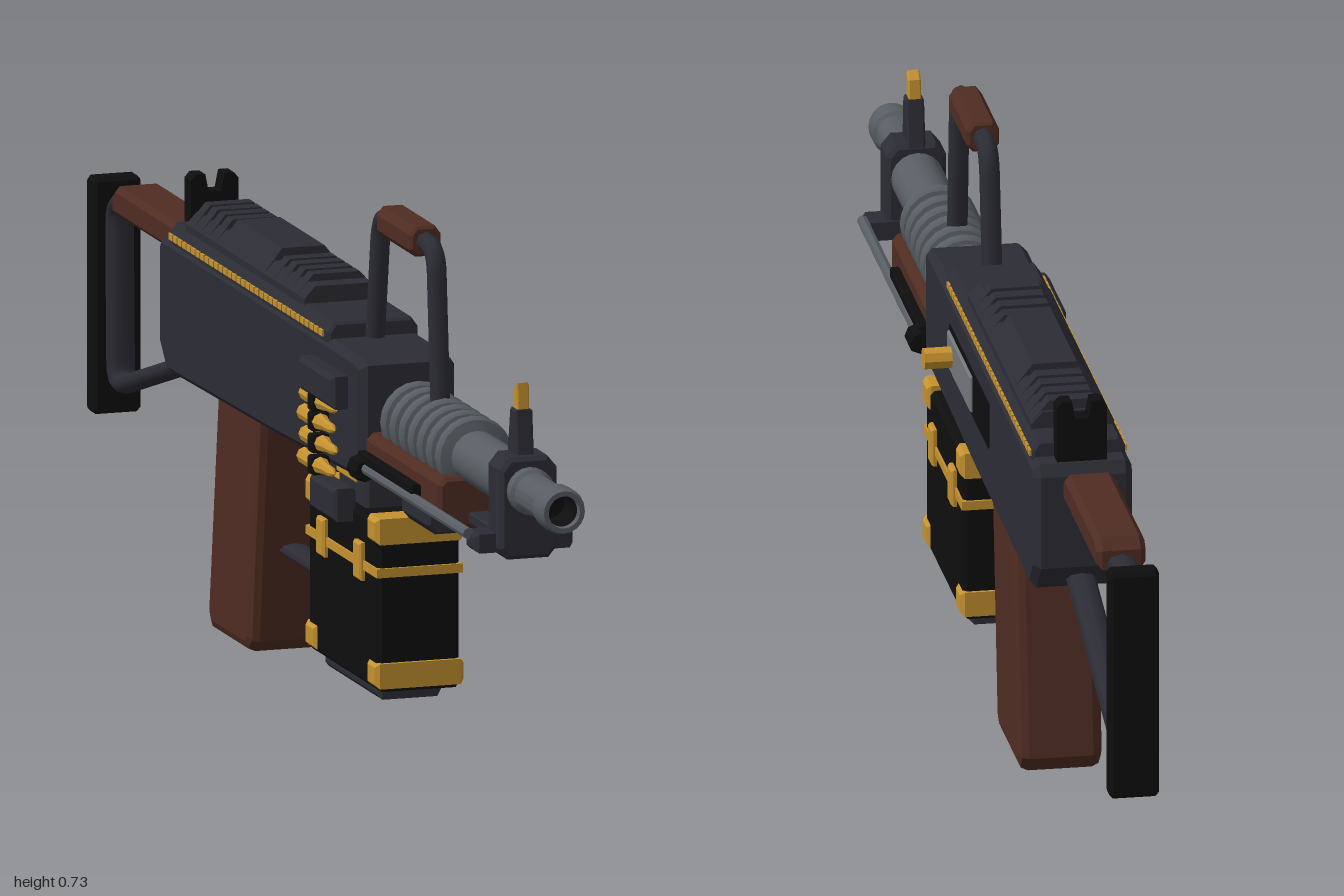
import * as THREE from 'three';
import { toCreasedNormals } from 'three/addons/utils/BufferGeometryUtils.js';

export function createModel() {
  const model = new THREE.Group();
  model.name = 'model';
  // Everything is built about x = 0, then shifted slightly
  const body = new THREE.Group();
  body.name = 'body';
  body.position.x = -0.01;
  model.add(body);

  const mat = (name, hex) => {
    const m = new THREE.MeshStandardMaterial({ color: hex });
    m.name = name;
    return m;
  };
  const steel = mat('dark steel', 0x2c2c35);
  const black = mat('black', 0x0e0e0f);
  const brown = mat('brown wood', 0x4f2c22);
  const gold = mat('brass', 0xc4912f);
  const gray = mat('barrel gray', 0x575d63);
  const silver = mat('bolt silver', 0x73767a);

  const add = (name, geo, m) => {
    const mesh = new THREE.Mesh(geo, m);
    mesh.name = name;
    body.add(mesh);
    return mesh;
  };
  const shapeOf = pts => new THREE.Shape(pts.map(p => new THREE.Vector2(p[0], p[1])));
  const extrude = (pts, w, b) => new THREE.ExtrudeGeometry(shapeOf(pts), {
    depth: w - 2 * b, bevelEnabled: b > 0, bevelSize: b, bevelThickness: b,
    bevelOffset: -b, bevelSegments: b > 0.012 ? 2 : 1,
  }).translate(0, 0, -w / 2 + b);
  // Side outline of [z, y] points, w wide across x
  const side = (name, pts, w, m, b = 0, x = 0) =>
    add(name, extrude(pts, w, b).rotateY(-Math.PI / 2).translate(x, 0, 0), m);
  // Cross-section of [x, y] points running from z0 to z1
  const section = (name, pts, z0, z1, m, b = 0) =>
    add(name, extrude(pts, z1 - z0, b).translate(0, 0, (z0 + z1) / 2), m);
  const rect = (a0, a1, b0, b1) => [[a0, b0], [a1, b0], [a1, b1], [a0, b1]];
  const box = (name, x0, x1, y0, y1, z0, z1, m, b = 0) =>
    side(name, rect(z0, z1, y0, y1), x1 - x0, m, b, (x0 + x1) / 2);
  // Turned part along z from [radius, z] points
  const turned = (name, pts, m, y = 0.448, x = 0, n = 20) =>
    add(name, toCreasedNormals(new THREE.LatheGeometry(
      pts.map(p => new THREE.Vector2(p[0], p[1])), n), 0.6)
      .rotateX(Math.PI / 2).translate(x, y, 0), m);
  // Bent bar through [z, y] points with rounded corners
  const bar = (name, pts, r, m, bend = 0.03, wide = 1) => {
    const v = pts.map(p => new THREE.Vector3(0, p[1], p[0]));
    const path = new THREE.CurvePath();
    let from = v[0];
    for (let i = 1; i < v.length - 1; i++) {
      const a = v[i].clone().add(v[i - 1].clone().sub(v[i]).setLength(bend));
      const c = v[i].clone().add(v[i + 1].clone().sub(v[i]).setLength(bend));
      path.add(new THREE.LineCurve3(from, a));
      path.add(new THREE.QuadraticBezierCurve3(a, v[i], c));
      from = c;
    }
    path.add(new THREE.LineCurve3(from, v[v.length - 1]));
    add(name, new THREE.TubeGeometry(path, 64, r, 8).scale(wide, 1, 1), m);
  };

  // Receiver and top cover
  side('receiver', [[0.315, 0.355], [0.315, 0.52], [0.29, 0.527], [-0.57, 0.527], [-0.58, 0.51],
    [-0.58, 0.375], [-0.545, 0.335], [-0.08, 0.343]], 0.14, steel, 0.01);
  section('topCover', [[-0.066, 0.52], [0.066, 0.52], [0.066, 0.536], [0.056, 0.55],
    [-0.056, 0.55], [-0.066, 0.536]], -0.54, 0.16, steel, 0.004);
  for (const s of [-1, 1]) {
    for (let i = 0; i < 34; i++) {
      const z = 0.14 - i * 0.02;
      box('trimDash', s * 0.066 - 0.003, s * 0.066 + 0.003, 0.527, 0.536, z - 0.0155, z, gold);
    }
  }

  // Ridged rail on the cover
  const railShape = (top, half) => [[-0.058, 0.545], [0.058, 0.545], [0.058, 0.557],
    [half, top], [-half, top], [-0.058, 0.557]];
  section('railBase', railShape(0.574, 0.042), -0.49, 0.03, steel);
  for (let i = 0; i < 4; i++) {
    section('frontRidge', railShape(0.584, 0.034), -0.025 - i * 0.035, -0.002 - i * 0.035, steel);
    section('rearRidge', railShape(0.588, 0.032), -0.385 - i * 0.033, -0.362 - i * 0.033, steel);
  }
  section('railBlock', railShape(0.591, 0.031), -0.345, -0.148, steel);

  // Rear sight with notch
  section('rearSight', [[-0.035, 0.52], [0.035, 0.52], [0.035, 0.607], [0.028, 0.615], [0.014, 0.615],
    [0.009, 0.59], [-0.009, 0.59], [-0.014, 0.615], [-0.028, 0.615], [-0.035, 0.607]], -0.566, -0.538, black);

  // Ejection port, bolt and cocking handle
  box('ejectionPort', 0.066, 0.072, 0.42, 0.486, -0.215, 0.105, black);
  box('bolt', 0.068, 0.076, 0.427, 0.479, -0.09, 0.1, silver, 0.002);
  add('cockingHandle', toCreasedNormals(new THREE.CylinderGeometry(0.016, 0.016, 0.045, 8), 0.3)
    .rotateZ(Math.PI / 2).translate(0.0925, 0.452, 0.065), gold);

  // Barrel with cooling ribs
  turned('barrel', [[0.037, 0.3], [0.037, 0.78], [0.033, 0.785], [0.033, 0.86], [0.028, 0.865],
    [0.028, 0.955], [0.033, 0.96], [0.033, 0.99], [0.03, 1], [0.023, 1], [0.022, 0.96]], gray);
  turned('bore', [[0.022, 0.99], [0.02, 0.94], [0, 0.94]], black);
  for (let i = 0; i < 7; i++) {
    const z = 0.36 + i * 0.04;
    turned('barrelRib', [[0.037, z - 0.014], [0.052, z - 0.01], [0.055, z - 0.006],
      [0.055, z + 0.006], [0.052, z + 0.01], [0.037, z + 0.014]], gray);
  }

  // Front sight block and post
  section('frontBlock', [[-0.03, 0.35], [0.03, 0.35], [0.042, 0.365], [0.042, 0.478], [0.028, 0.495],
    [-0.028, 0.495], [-0.042, 0.478], [-0.042, 0.365]], 0.785, 0.845, steel, 0.006);
  side('sightPost', [[0.785, 0.485], [0.83, 0.485], [0.822, 0.558], [0.798, 0.558]], 0.026, steel, 0.003);
  side('sightBlade', [[0.798, 0.555], [0.82, 0.555], [0.817, 0.595], [0.802, 0.585]], 0.018, gold, 0.002);

  // Handguard
  section('handguard', [[-0.045, 0.353], [0.045, 0.353], [0.062, 0.372], [0.062, 0.415], [0.052, 0.425],
    [-0.052, 0.425], [-0.062, 0.415], [-0.062, 0.372]], 0.31, 0.635, brown, 0.005);
  section('handguardLug', [[-0.032, 0.322], [0.032, 0.322], [0.043, 0.335], [0.043, 0.36],
    [-0.043, 0.36], [-0.043, 0.335]], 0.41, 0.53, steel, 0.004);

  // Folded bipod
  box('bipodFoot', -0.072, 0.072, 0.358, 0.385, 0.78, 0.825, steel, 0.006);
  box('bipodRail', -0.018, 0.018, 0.357, 0.375, 0.6, 0.8, steel, 0.003);
  for (const s of [-1, 1]) {
    turned('bipodLeg', [[0, 0.33], [0.008, 0.33], [0.008, 0.8], [0, 0.8]], gray, 0.382, s * 0.074, 8);
    turned('bipodPivot', [[0, 0.315], [0.014, 0.315], [0.018, 0.32], [0.018, 0.347], [0.014, 0.352],
      [0, 0.352]], black, 0.38, s * 0.075, 8);
    box('bipodArm', s * 0.07 - 0.007, s * 0.07 + 0.007, 0.385, 0.402, 0.32, 0.56, black, 0.002);
  }

  // Carrying handle
  bar('carryHandle', [[0.455, 0.475], [0.435, 0.708], [0.195, 0.708], [0.168, 0.53]], 0.0145, steel, 0.035);
  section('carryGrip', [[-0.014, 0.687], [0.014, 0.687], [0.023, 0.697], [0.023, 0.718], [0.014, 0.73],
    [-0.014, 0.73], [-0.023, 0.718], [-0.023, 0.697]], 0.24, 0.39, brown, 0.004);

  // Ammunition box
  box('ammoBox', -0.06, 0.06, 0.065, 0.305, 0.055, 0.36, black, 0.006);
  box('boxLid', -0.045, 0.045, 0.3, 0.345, 0.14, 0.26, steel, 0.006);
  box('lidPlate', -0.05, 0.05, 0.335, 0.348, 0.145, 0.225, gold, 0.003);
  box('boxBase', -0.048, 0.048, 0.045, 0.075, 0.085, 0.32, steel, 0.008);
  box('boxStrap', -0.063, 0.063, 0.228, 0.241, 0.051, 0.364, gold);
  for (const z of [0.05, 0.322]) {
    box('topCorner', -0.065, 0.065, 0.275, 0.312, z, z + 0.044, gold, 0.006);
    box('bottomCorner', -0.065, 0.065, 0.07, 0.106, z, z + 0.044, gold, 0.006);
  }
  for (const z of [0.125, 0.287]) {
    for (const s of [-1, 1]) {
      box('boxBuckle', s * 0.062 - 0.006, s * 0.062 + 0.006, 0.212, 0.266, z - 0.016, z + 0.016, gold, 0.003);
    }
  }

  // Feed tray and cartridge belt on the right side
  box('feedCover', -0.095, -0.065, 0.448, 0.495, 0.11, 0.26, steel, 0.006);
  box('feedChute', -0.088, -0.055, 0.286, 0.333, 0.14, 0.25, steel, 0.005);
  [0.442, 0.414, 0.383, 0.352].forEach((y, i) => {
    turned('cartridge', [[0, 0.105], [0.012, 0.105], [0.012, 0.18], [0.008, 0.2], [0.007, 0.225],
      [0, 0.24]], gold, y, -0.08 - (i % 2) * 0.003, 8);
    box('beltLink', -0.096, -0.068, y - 0.014, y + 0.012, 0.155, 0.175, black, 0.003);
  });

  // Trigger, guard and grip
  bar('triggerGuard', [[0.022, 0.36], [0.022, 0.152], [-0.21, 0.152]], 0.009, steel, 0.03, 2.4);
  side('trigger', [[-0.06, 0.355], [-0.083, 0.355], [-0.088, 0.3], [-0.098, 0.255], [-0.085, 0.25],
    [-0.073, 0.28], [-0.068, 0.315]], 0.022, gold, 0.003);
  side('grip', [[-0.165, 0.36], [-0.355, 0.36], [-0.4, 0.025], [-0.385, 0.003], [-0.225, 0.003],
    [-0.205, 0.02]], 0.118, brown, 0.014);

  // Folding stock
  bar('stockFrame', [[-0.55, 0.5], [-0.958, 0.495], [-0.952, 0.228], [-0.54, 0.355]], 0.014, steel, 0.035, 1.5);
  side('cheekRest', [[-0.61, 0.487], [-0.61, 0.52], [-0.625, 0.53], [-0.875, 0.53], [-0.892, 0.515],
    [-0.892, 0.487]], 0.07, brown, 0.008);
  side('buttPlate', [[-0.965, 0.19], [-0.965, 0.517], [-0.972, 0.522], [-0.995, 0.522], [-1, 0.515],
    [-1, 0.192], [-0.994, 0.186], [-0.972, 0.186]], 0.07, black, 0.005);

  return model;
}
